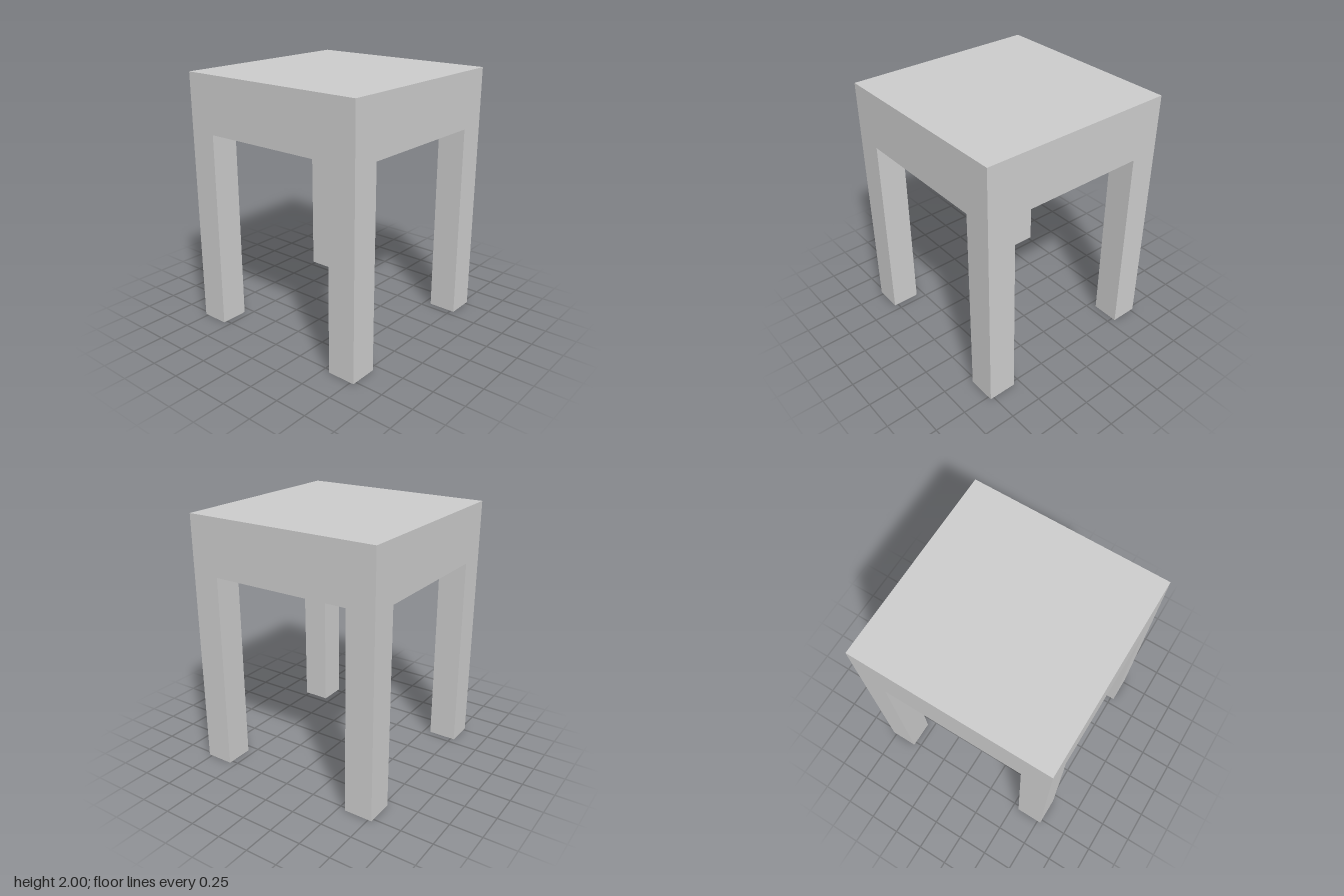
import * as THREE from 'three';

export function createModel() {
  const model = new THREE.Group();
  model.name = 'stool';
  const material = new THREE.MeshStandardMaterial({ color: 0xcccccc });

  // Proportions on a square module: 7 wide, 9 high, legs 1 thick
  const unit = 2 / 9;
  const width = 7 * unit;
  const legHeight = 7 * unit;
  const seatHeight = 2 * unit;

  function addBox(name, w, h, d, x, y, z) {
    const mesh = new THREE.Mesh(new THREE.BoxGeometry(w, h, d), material);
    mesh.name = name;
    mesh.position.set(x, y, z);
    model.add(mesh);
  }

  // Thick square seat
  addBox('seat', width, seatHeight, width, 0, legHeight + seatHeight / 2, 0);

  // Four square legs, flush with the seat corners
  const offset = (width - unit) / 2;
  for (const [side, sx] of [['Left', 1], ['Right', -1]]) {
    for (const [end, sz] of [['front', 1], ['back', -1]]) {
      addBox(`${end}${side}Leg`, unit, legHeight, unit, sx * offset, legHeight / 2, sz * offset);
    }
  }

  return model;
}
